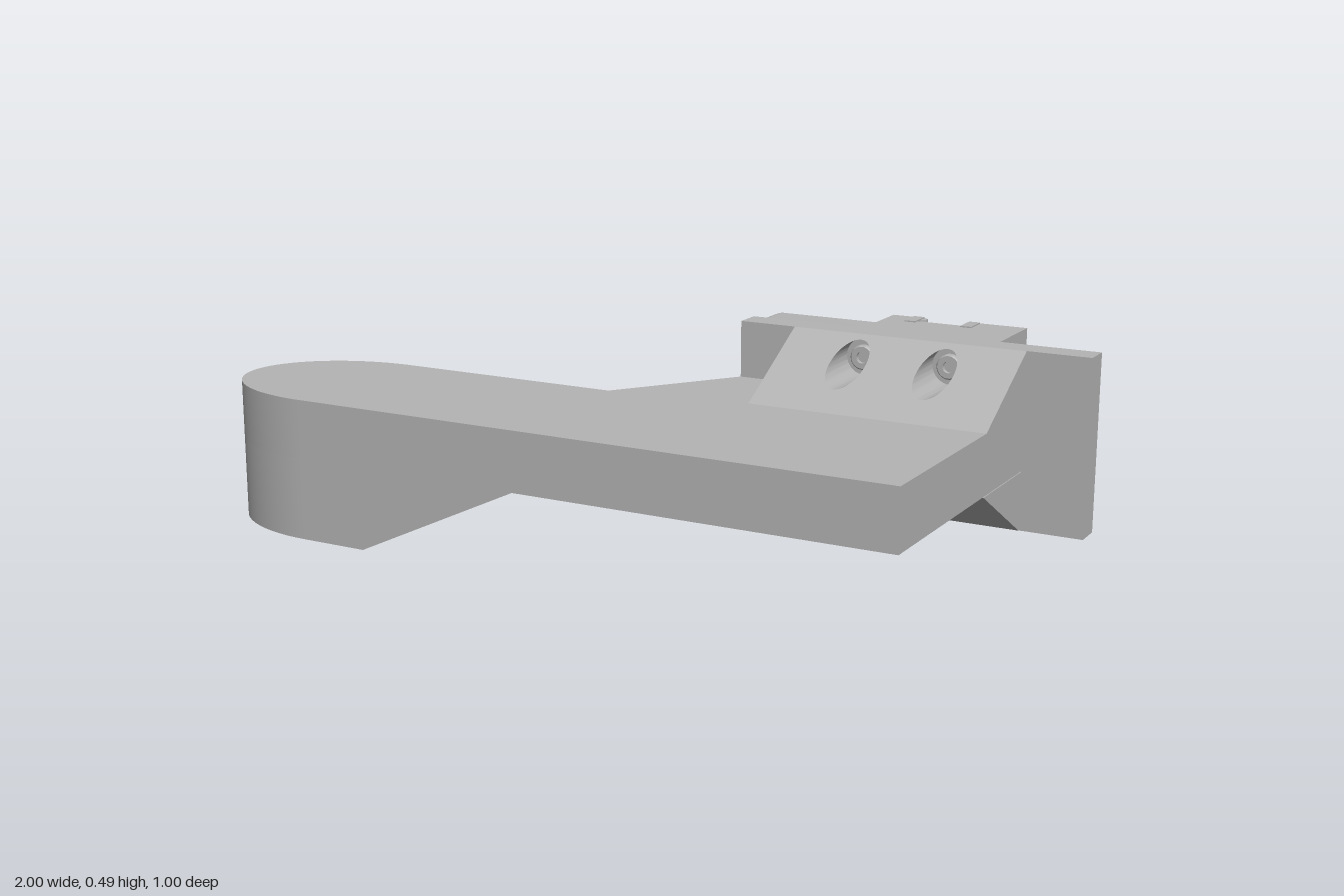
import * as THREE from 'three';
import { toCreasedNormals } from 'three/addons/utils/BufferGeometryUtils.js';

const grey = new THREE.MeshStandardMaterial({ color: 0xb4b4b4 });
grey.name = 'light grey';

const MID_Y = 0.2705;              // centre height of the mounting end
const TOP = 0.486, LOW = 0.055;    // height range of the mounting plate
const SLAB_TOP = 0.345, SLAB_LOW = 0.2;
const PLATE_Z = -0.24;

function add(parent, name, geometry) {
  const mesh = new THREE.Mesh(geometry, grey);
  mesh.name = name;
  parent.add(mesh);
  return mesh;
}

// Box given by its lower and upper corners
function box(x0, y0, z0, x1, y1, z1) {
  return new THREE.BoxGeometry(x1 - x0, y1 - y0, z1 - z0)
    .translate((x0 + x1) / 2, (y0 + y1) / 2, (z0 + z1) / 2);
}

function extrude(shape, depth) {
  return new THREE.ExtrudeGeometry(shape, { depth, bevelEnabled: false, curveSegments: 32 });
}

// Plan outline in x and -z, raised from y0 to y1
function extrudeUp(shape, y0, y1) {
  return toCreasedNormals(extrude(shape, y1 - y0).rotateX(-Math.PI / 2).translate(0, y0, 0), 0.5);
}

function polygon(points) {
  return new THREE.Shape(points.map(([x, y]) => new THREE.Vector2(x, y)));
}

// Rounded tip of the arm: half an ellipse at the low-x end
function addTip(shape) {
  shape.lineTo(-0.69, -0.055);
  shape.absellipse(-0.69, -0.2775, 0.31, 0.2225, Math.PI / 2, Math.PI * 1.5, false, 0);
}

function makeArm() {
  const arm = new THREE.Group();
  arm.name = 'arm';

  // Flat slab running from the rounded tip to the mounting plate
  const slab = new THREE.Shape();
  slab.moveTo(0.845, -0.5);
  slab.lineTo(0.845, -PLATE_Z);
  slab.lineTo(0.108, -PLATE_Z);
  slab.lineTo(-0.1, -0.055);
  addTip(slab);
  add(arm, 'armSlab', extrudeUp(slab, SLAB_LOW, SLAB_TOP));

  // Deep end below the slab
  const tip = new THREE.Shape();
  tip.moveTo(-0.515, -0.5);
  tip.lineTo(-0.515, -0.055);
  addTip(tip);
  add(arm, 'armTip', extrudeUp(tip, 0, SLAB_LOW));

  // Sloping underside between deep end and slab
  const wedge = polygon([[-0.515, 0], [-0.09, SLAB_LOW], [-0.515, SLAB_LOW]]);
  add(arm, 'armWedge', extrude(wedge, 0.445).translate(0, 0, 0.055));
  return arm;
}

// Sloped gusset with two counterbored screws, about the mounting centre
function makeGusset() {
  const group = new THREE.Group();
  group.name = 'gusset';
  const x = 0.295, y0 = SLAB_TOP - MID_Y - 0.002, y1 = TOP - MID_Y;
  const shape = polygon([[-x, y0], [x, y0], [x, y1], [-x, y1]]);
  const holes = [-0.11, 0.11];
  const holeY = 0.16;
  for (const hx of holes) {
    const hole = new THREE.Path();
    hole.absarc(hx, holeY, 0.045, 0, Math.PI * 2, true);
    shape.holes.push(hole);
  }
  const geometry = extrude(shape, 1);
  // Lean the front face back as it rises
  const p = geometry.attributes.position;
  for (let i = 0; i < p.count; i++) {
    const t = (p.getY(i) - y0) / (y1 - y0);
    p.setZ(i, p.getZ(i) > 0.5 ? PLATE_Z + 0.002 + 0.25 * (1 - t) : PLATE_Z);
  }
  add(group, 'gussetBody', toCreasedNormals(geometry, 0.5));

  // Socket screw heads at the bottom of the holes
  const head = [[0, 0.004], [0.014, 0.004], [0.014, 0.016], [0.027, 0.016], [0.03, 0.013], [0.03, 0]]
    .map(([r, h]) => new THREE.Vector2(r, h)).reverse();
  for (const hx of holes) {
    const screw = new THREE.LatheGeometry(head, 32).rotateX(Math.PI / 2);
    add(group, 'screwHead', toCreasedNormals(screw, 0.5)).position.set(hx, holeY, PLATE_Z);
  }
  return group;
}

function makeMount() {
  const mount = new THREE.Group();
  mount.name = 'mount';
  add(mount, 'mountPlate', box(0.108, LOW, -0.31, 1, TOP, PLATE_Z));
  add(mount, 'fence', box(0.7, LOW, -0.5, 0.755, TOP, -0.31));

  // Second layer with rounded outer corners
  const r = 0.045, x0 = 0.108;
  const layer = new THREE.Shape();
  layer.moveTo(0.7, LOW);
  layer.lineTo(0.7, TOP);
  layer.lineTo(x0 + r, TOP);
  layer.absarc(x0 + r, TOP - r, r, Math.PI / 2, Math.PI, false);
  layer.absarc(x0 + r, LOW + r, r, Math.PI, Math.PI * 1.5, false);
  add(mount, 'backLayer', toCreasedNormals(extrude(layer, 0.078).translate(0, 0, -0.388), 0.5));

  // Slotted rail with lips, drawn in x and -z
  const rail = polygon([
    [0.405, 0.385], [0.7, 0.385], [0.7, 0.5], [0.622, 0.5], [0.608, 0.487], [0.608, 0.478],
    [0.622, 0.468], [0.622, 0.45], [0.488, 0.45], [0.488, 0.468], [0.502, 0.478],
    [0.502, 0.487], [0.488, 0.5], [0.405, 0.5],
  ]);
  add(mount, 'slottedRail', extrude(rail, TOP - LOW).rotateX(-Math.PI / 2).translate(0, LOW, 0));

  // Jaw inserts standing slightly proud of the rail ends
  for (const x of [0.462, 0.608]) {
    add(mount, 'jawInsert', box(x, LOW - 0.003, -0.495, x + 0.028, TOP + 0.003, -0.432));
  }

  // Clamp knob with stepped hub and socket
  const knob = [[0.115, 0], [0.115, 0.05], [0.108, 0.057], [0.067, 0.057], [0.067, 0.066],
    [0.062, 0.07], [0.045, 0.07], [0.045, 0.06], [0.034, 0.06], [0.034, 0.068], [0.02, 0.068],
    [0.02, 0.045], [0, 0.045]].map(([a, b]) => new THREE.Vector2(a, b));
  const knobGeometry = new THREE.LatheGeometry(knob, 48).rotateX(-Math.PI / 2);
  add(mount, 'clampKnob', toCreasedNormals(knobGeometry, 0.5)).position.set(0.28, MID_Y, -0.387);
  return mount;
}

export function createModel() {
  const model = new THREE.Group();
  model.name = 'armBracket';
  model.add(makeArm(), makeMount());
  // Upper gusset and the same part turned over below the slab
  for (const turn of [0, Math.PI]) {
    const gusset = makeGusset();
    gusset.position.set(0.55, MID_Y, 0);
    gusset.rotation.z = turn;
    model.add(gusset);
  }
  return model;
}
